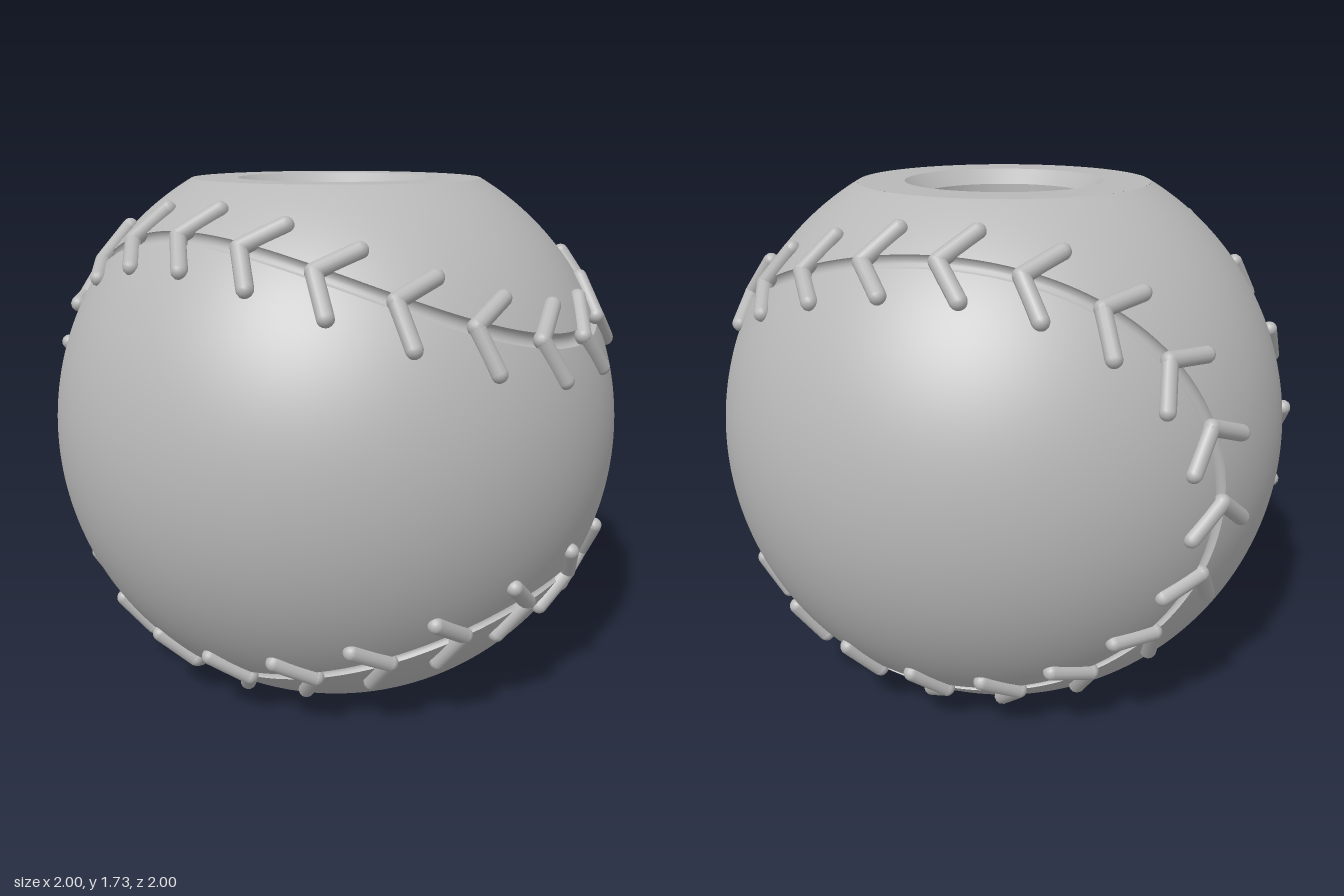
import * as THREE from 'three';
import { ParametricGeometry } from 'three/addons/geometries/ParametricGeometry.js';

const CUT = Math.PI / 3;            // latitude where the ball is sliced flat
const TOP = Math.sin(CUT);
const GROOVE = 0.024;               // half width of the seam groove
const STITCHES = 44;

// Closed seam lying exactly on the unit sphere
class Seam extends THREE.Curve {
  getPoint(u, target = new THREE.Vector3()) {
    const t = u * Math.PI * 2;
    return target.set(
      2 * Math.sqrt(0.21) * Math.cos(2 * t),
      0.7 * Math.cos(t) - 0.3 * Math.cos(3 * t),
      0.7 * Math.sin(t) + 0.3 * Math.sin(3 * t));
  }
}

// Position, direction and sideways vector of the seam at angle t
function seamFrame(t) {
  const p = new Seam().getPoint(t / (Math.PI * 2));
  const dir = new THREE.Vector3(
    -4 * Math.sqrt(0.21) * Math.sin(2 * t),
    -0.7 * Math.sin(t) + 0.9 * Math.sin(3 * t),
    0.7 * Math.cos(t) + 0.9 * Math.cos(3 * t)).normalize();
  return { p, dir, side: new THREE.Vector3().crossVectors(p, dir) };
}

function besideSeam(t, offset) {
  const { p, side } = seamFrame(t);
  return p.addScaledVector(side, offset).normalize();
}

export function createModel() {
  const group = new THREE.Group();
  group.position.y = TOP;
  const grey = new THREE.MeshStandardMaterial({ color: 0xb8b8b8 });
  grey.name = 'grey';

  function add(name, geometry, parent = group) {
    const mesh = new THREE.Mesh(geometry, grey);
    mesh.name = name;
    parent.add(mesh);
    return mesh;
  }

  // Piece of the sphere: rule gives [longitude, upper latitude, lower latitude] across u
  function spherePatch(name, columns, rows, rule) {
    const geo = new ParametricGeometry((u, v, out) => {
      const [lon, high, low] = rule(u);
      const lat = high + (low - high) * v;
      out.set(Math.cos(lat) * Math.cos(lon), Math.sin(lat), Math.cos(lat) * Math.sin(lon));
    }, columns, rows);
    geo.setAttribute('normal', geo.attributes.position.clone());
    add(name, geo);
  }

  const edge = (u, offset) => {
    const e = besideSeam((u - 0.5) * Math.PI, offset);
    return [Math.atan2(e.z, e.x), Math.asin(e.y)];
  };

  // Leather panels on either side of the seam
  spherePatch('wrapPanel', 200, 64, u => {
    const [lon, lat] = edge(u, GROOVE);
    return [lon, lat, -lat];
  });
  spherePatch('upperPanel', 200, 32, u => {
    const [lon, lat] = edge(u, -GROOVE);
    return [lon, CUT, lat];
  });
  spherePatch('lowerPanel', 200, 32, u => {
    const [lon, lat] = edge(u, -GROOVE);
    return [lon, -lat, -CUT];
  });
  const tip = edge(1, -GROOVE)[0];
  spherePatch('sidePanel', 40, 64, u => [tip + (2 * Math.PI - 2 * tip) * u, CUT, -CUT]);

  // Rounded groove along the seam
  add('seamGroove', new ParametricGeometry((u, v, out) => {
    const a = Math.PI * v;
    out.copy(besideSeam(u * Math.PI * 2, -GROOVE * Math.cos(a)))
      .multiplyScalar(1 - GROOVE * Math.sin(a));
  }, 400, 8));

  // Flat ends, chamfers and through hole, one sharp-edged ring each
  const profile = [[0.5, TOP], [0.34, TOP], [0.29, TOP - 0.05],
    [0.29, 0.05 - TOP], [0.34, -TOP], [0.5, -TOP]].map(p => new THREE.Vector2(...p));
  ['topFlat', 'topChamfer', 'hole', 'bottomChamfer', 'bottomFlat'].forEach((name, i) =>
    add(name, new THREE.LatheGeometry([profile[i], profile[i + 1]], 128)));

  // V-shaped stitches evenly spaced along the seam
  const stitches = new THREE.Group();
  stitches.name = 'stitches';
  group.add(stitches);
  const seam = new Seam();
  seam.arcLengthDivisions = 800;
  const up = new THREE.Vector3(0, 1, 0);
  const angle = THREE.MathUtils.degToRad(53);
  const reach = 0.15;
  const capsule = new THREE.CapsuleGeometry(0.027, reach, 5, 12);
  for (let i = 0; i < STITCHES; i++) {
    const { p, dir, side } = seamFrame(seam.getUtoTmapping(i / STITCHES) * Math.PI * 2);
    for (const s of [-1, 1]) {
      const end = p.clone()
        .addScaledVector(dir, -reach * Math.cos(angle))
        .addScaledVector(side, s * reach * Math.sin(angle)).normalize();
      const arm = add('stitch', capsule, stitches);
      arm.position.copy(p).add(end).multiplyScalar(0.503);
      arm.quaternion.setFromUnitVectors(up, end.clone().sub(p).normalize());
    }
  }

  const model = new THREE.Group();
  model.name = 'stitchedBallBead';
  group.name = 'ball';
  model.add(group);
  return model;
}
